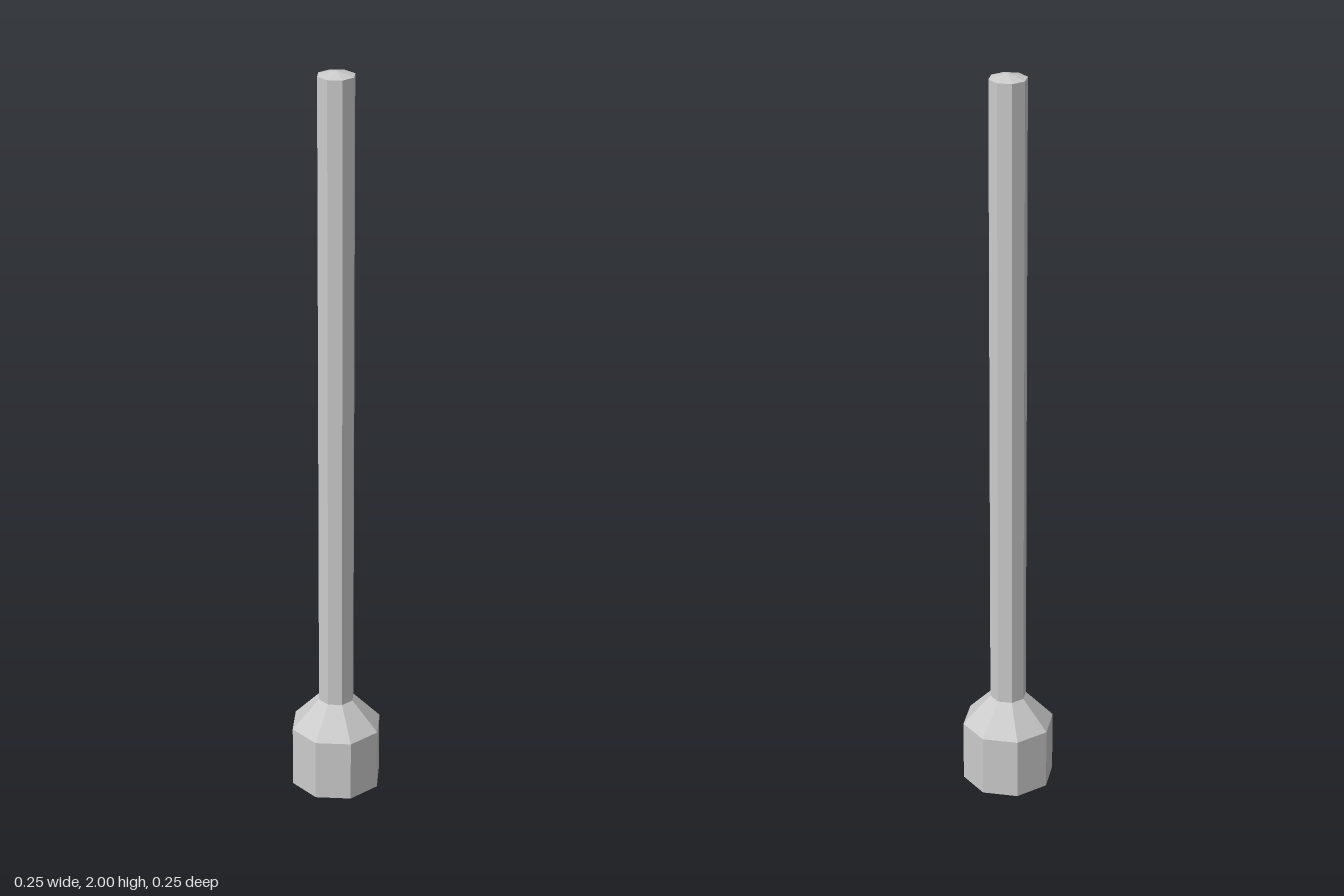
import * as THREE from 'three';

const SIDES = 8;
const BASE_R = 0.124, SHAFT_R = 0.049;
const BASE_TOP = 0.17, SHAFT_BOTTOM = 0.25, SHAFT_TOP = 1.988, TIP = 2;

export function createModel() {
  const group = new THREE.Group();
  const material = new THREE.MeshStandardMaterial({ color: 0xcccccc, flatShading: true });

  const add = (name, geometry, y) => {
    const mesh = new THREE.Mesh(geometry, material);
    mesh.name = name;
    mesh.position.y = y;
    group.add(mesh);
  };

  // Open-ended octagonal section between two heights
  const section = (name, rBottom, rTop, y0, y1) =>
    add(name, new THREE.CylinderGeometry(rTop, rBottom, y1 - y0, SIDES, 1, true), (y0 + y1) / 2);

  // Flat underside
  const bottom = new THREE.CircleGeometry(BASE_R, SIDES);
  bottom.rotateX(Math.PI / 2);
  add('underside', bottom, 0);

  // Heavy foot, sloping collar, long shaft
  section('foot', BASE_R, BASE_R, 0, BASE_TOP);
  section('collar', BASE_R, SHAFT_R, BASE_TOP, SHAFT_BOTTOM);
  section('shaft', SHAFT_R, SHAFT_R, SHAFT_BOTTOM, SHAFT_TOP);

  // Shallow pointed cap
  section('cap', SHAFT_R, 0, SHAFT_TOP, TIP);

  return group;
}
